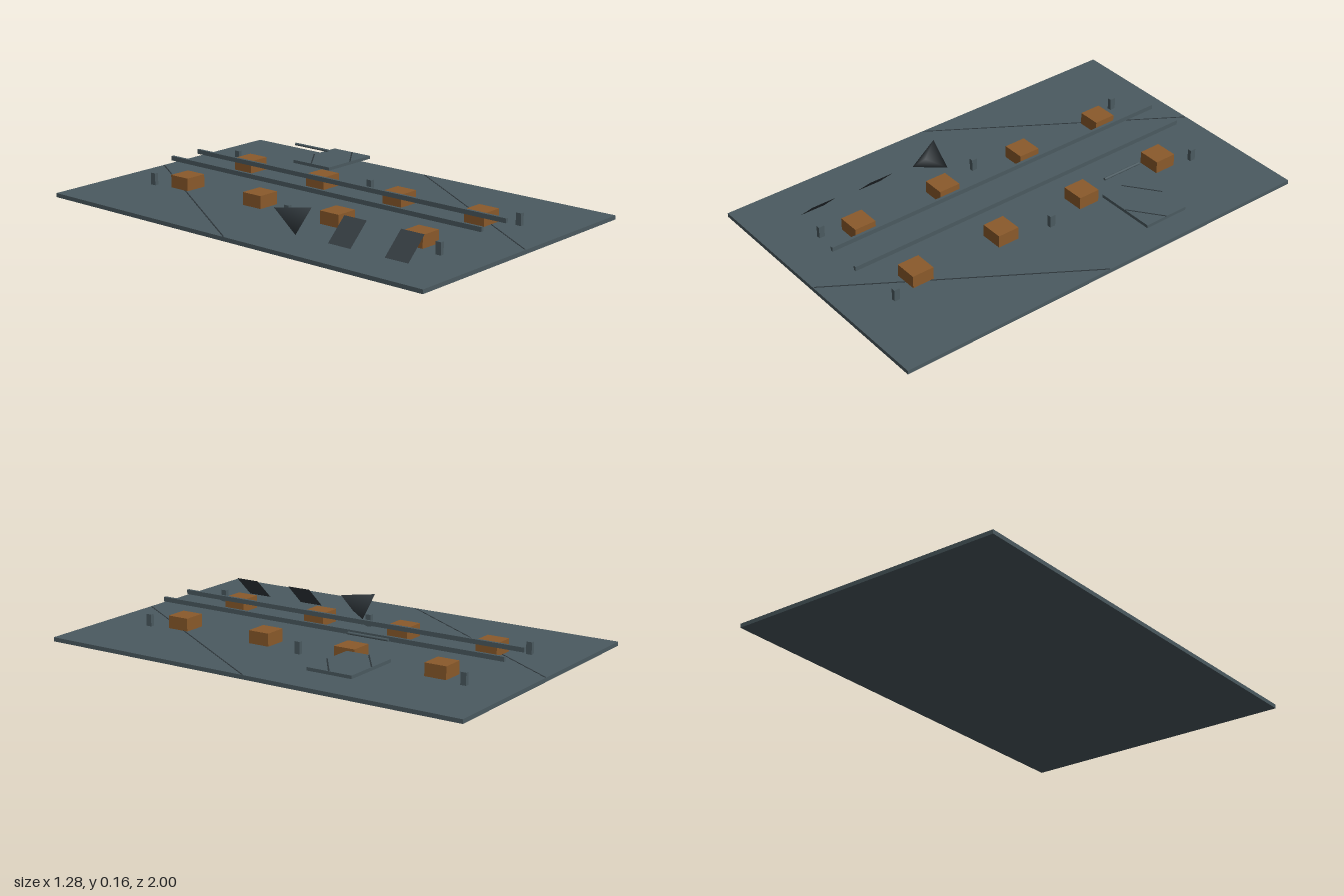
import * as THREE from 'three';

const material = (color, extra = {}) => new THREE.MeshStandardMaterial({ color, ...extra });
const slate = material(0x4b5a60);
const dark = material(0x353d42, { side: THREE.DoubleSide });
const seam = material(0x2c3539);
const brown = material(0x8b5a2b);

function add(parent, name, geometry, mat, x, y, z) {
  const mesh = new THREE.Mesh(geometry, mat);
  mesh.name = name;
  mesh.position.set(x, y, z);
  parent.add(mesh);
  return mesh;
}

// Flat slab with two thin diagonal lines joining the middles of its edges
function slab(name, w, h, d, x, y, z) {
  const group = new THREE.Group();
  group.name = name;
  group.position.set(x, y, z);
  add(group, name + 'Plate', new THREE.BoxGeometry(w, h, d), slate, 0, 0, 0);
  const length = Math.hypot(w, d) / 2;
  for (const s of [-1, 1]) {
    const line = add(group, name + 'Seam', new THREE.BoxGeometry(length * 0.99, 0.001, 0.006),
      seam, s * w / 4, h / 2, s * d / 4);
    line.rotation.y = Math.atan2(d, w);
  }
  return group;
}

// Four-sided solid with its corners on alternate corners of a box, shaded smooth
function tetrahedron(w, h, d) {
  const corners = [-1, 1, -1, -1, -1, 1, 1, -1, -1, 1, 1, 1];
  const geometry = new THREE.BufferGeometry();
  geometry.setAttribute('position', new THREE.Float32BufferAttribute(corners, 3));
  geometry.setIndex([0, 2, 1, 0, 1, 3, 0, 3, 2, 1, 2, 3]);
  geometry.scale(w / 2, h / 2, d / 2);
  geometry.computeVertexNormals();
  return geometry;
}

export function createModel() {
  const model = new THREE.Group();
  model.name = 'floorLayout';

  // Ground and the small raised panel
  model.add(slab('ground', 1.28, 0.018, 2, 0, 0.009, 0));
  model.add(slab('raisedPanel', 0.28, 0.014, 0.21, 0.428, 0.069, -0.36));

  for (const side of [-1, 1]) {
    // Long rails down the middle
    add(model, 'rail', new THREE.BoxGeometry(0.013, 0.02, 1.71), slate, side * 0.081, 0.09, -0.004);
    // Crates in two rows
    for (const z of [-0.645, -0.216, 0.213, 0.642]) {
      add(model, 'crate', new THREE.BoxGeometry(0.102, 0.056, 0.1), brown, side * 0.199, 0.046, z);
    }
    // Short posts outside the crates
    for (const z of [-0.785, 0, 0.785]) {
      add(model, 'post', new THREE.BoxGeometry(0.018, 0.053, 0.026), slate, side * 0.264, 0.0445, z);
    }
  }

  // Thin bar above the edge of the panel
  const bar = add(model, 'bar', new THREE.CylinderGeometry(0.006, 0.006, 0.19, 12), slate, 0.289, 0.151, -0.357);
  bar.rotation.x = Math.PI / 2;

  // Pyramid marker and two sloping plates
  const w = 0.098, h = 0.093, d = 0.115;
  add(model, 'pyramidMarker', tetrahedron(w, h, d), dark, -0.388, 0.066, 0.141);
  for (const z of [0.427, 0.713]) {
    const plate = add(model, 'slopingPlate', new THREE.PlaneGeometry(Math.hypot(w, h), d).rotateX(-Math.PI / 2),
      dark, -0.388, 0.066, z);
    plate.rotation.z = Math.atan2(h, w);
  }
  return model;
}
